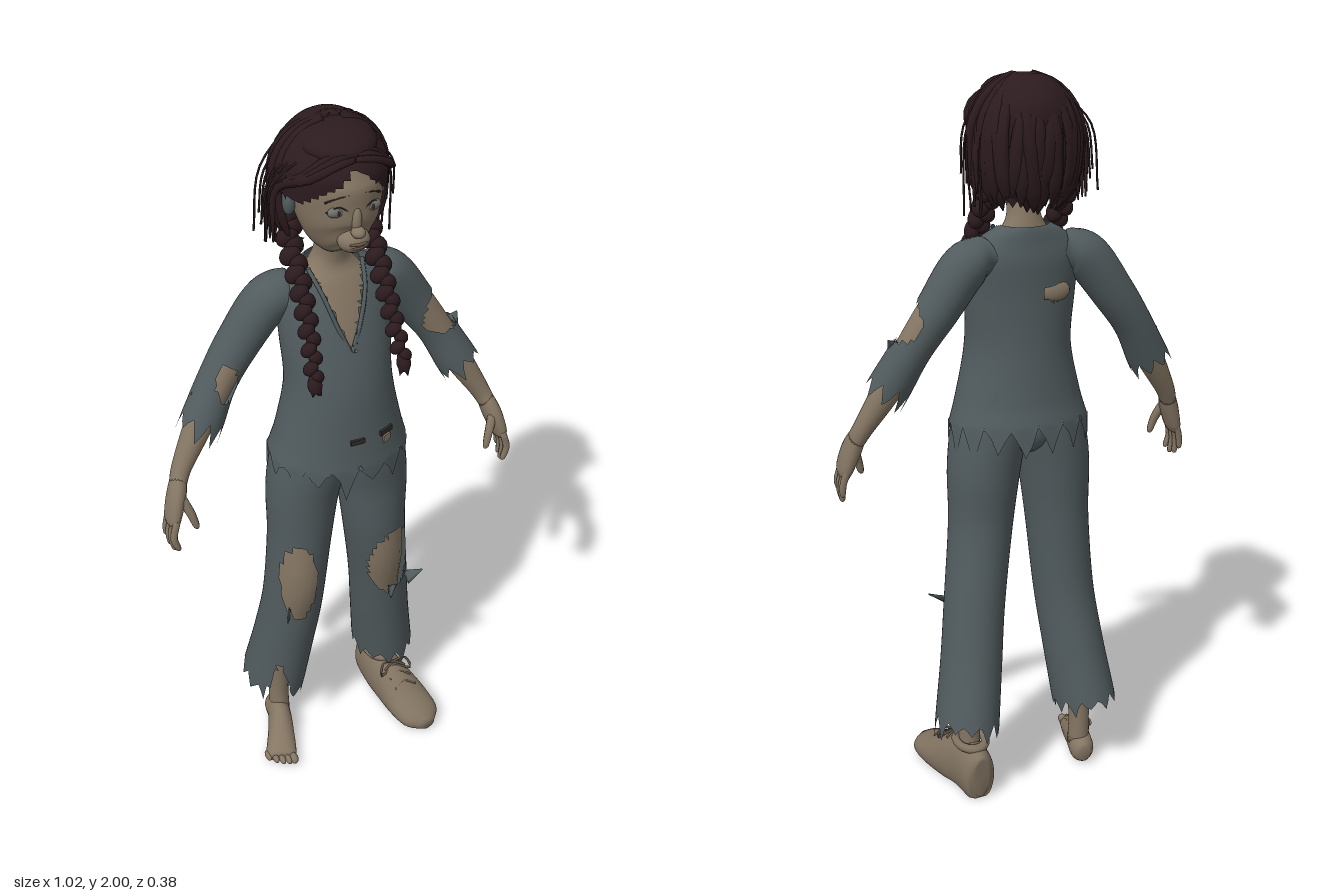
import * as THREE from 'three';

const mat = (name, color, side = THREE.FrontSide) => Object.assign(new THREE.MeshStandardMaterial({ color, side }), { name });
const skin = mat('skin', 0x857663);
const cloth = mat('cloth', 0x515b5e, THREE.DoubleSide);
const hair = mat('hair', 0x2c1b1e, THREE.DoubleSide);
const shoeMat = mat('shoe', 0x807260);
const laceMat = mat('lace', 0x5f5346);
const dark = mat('dark', 0x2f2b2a);
const eyeMat = mat('eye', 0x72706a);
const lipMat = mat('lips', 0x6b5648);

const V = (x, y, z) => new THREE.Vector3(x, y, z);
const X = V(1, 0, 0);

export function createModel() {
  const model = new THREE.Group();
  let seed = 7;
  const rnd = () => (seed = (seed * 16807) % 2147483647) / 2147483647;
  const vary = a => (rnd() - 0.5) * 2 * a;

  const add = (name, geo, material, parent = model) => {
    const m = new THREE.Mesh(geo, material);
    m.name = name;
    parent.add(m);
    return m;
  };

  // Smooth skin through elliptical sections [x, y, z, width radius, depth radius],
  // with optional torn end (jag), missing faces (skip) and end caps
  function loft(sections, { n = 20, rows = 20, jag = 0, skip = null, cap = true, ref = X } = {}) {
    const path = new THREE.CatmullRomCurve3(sections.map(s => V(s[0], s[1], s[2])), false, 'catmullrom', 0.5);
    const size = new THREE.CatmullRomCurve3(sections.map(s => V(s[3], s[4], 0)), false, 'catmullrom', 0.5);
    const pts = [], index = [];
    let tooth = 1;
    for (let i = 0; i <= rows; i++) {
      const c = path.getPoint(i / rows), r = size.getPoint(i / rows), t = path.getTangent(i / rows);
      const u = ref.clone().addScaledVector(t, -ref.dot(t)).normalize();
      const v = t.clone().cross(u);
      for (let j = 0; j < n; j++) {
        const a = j / n * Math.PI * 2;
        const p = c.clone().addScaledVector(u, r.x * Math.cos(a)).addScaledVector(v, r.y * Math.sin(a));
        if (jag && i === rows) {
          if (j % 4 === 0) tooth = 0.3 + 0.7 * rnd();
          p.addScaledVector(t, jag * ([-0.25, 0.35, 1, 0.3][j % 4] * tooth + vary(0.1)));
        }
        p.y = Math.max(p.y, 0);
        pts.push(p);
      }
    }
    const tri = (a, b, c) => {
      const mid = pts[a].clone().add(pts[b]).add(pts[c]).divideScalar(3);
      if (!skip || !skip(mid)) index.push(a, b, c);
    };
    for (let i = 0; i < rows; i++) for (let j = 0; j < n; j++) {
      const a = i * n + j, b = i * n + (j + 1) % n;
      tri(a, b, a + n);
      tri(b, b + n, a + n);
    }
    if (cap) for (const [row, first] of [[0, true], [rows, false]]) {
      const k = pts.push(path.getPoint(row / rows)) - 1;
      for (let j = 0; j < n; j++) {
        const a = row * n + j, b = row * n + (j + 1) % n;
        first ? index.push(k, b, a) : index.push(k, a, b);
      }
    }
    const g = new THREE.BufferGeometry().setFromPoints(pts);
    g.setIndex(index);
    g.computeVertexNormals();
    return g;
  }
  const hole = (c, r) => p => ((p.x - c[0]) / r[0]) ** 2 + ((p.y - c[1]) / r[1]) ** 2 + ((p.z - c[2]) / r[2]) ** 2 < 1;
  const ball = (name, m, p, r, parent) => {
    const b = add(name, new THREE.SphereGeometry(1, 16, 12), m, parent);
    b.position.set(...p);
    b.scale.set(...r);
    return b;
  };
  const cord = (name, m, points, r, parent) =>
    add(name, new THREE.TubeGeometry(new THREE.CatmullRomCurve3(points.map(p => V(...p))), 10, r, 6), m, parent);

  // Head, neck and chest
  add('head', loft([[0, 1.955, -0.01, 0.03, 0.04], [0, 1.925, 0, 0.085, 0.105], [0, 1.86, 0, 0.115, 0.134], [0, 1.79, 0.01, 0.109, 0.126],
    [0, 1.73, 0.028, 0.09, 0.11], [0, 1.69, 0.05, 0.06, 0.076], [0, 1.672, 0.062, 0.032, 0.043]], { n: 28, rows: 28 }), skin);
  add('neckAndChest', loft([[0, 1.72, 0, 0.045, 0.05], [0, 1.64, -0.02, 0.043, 0.046], [0, 1.59, -0.025, 0.07, 0.052],
    [0, 1.53, -0.015, 0.122, 0.07], [0, 1.42, 0.005, 0.135, 0.09], [0, 1.3, 0.015, 0.125, 0.1]], { n: 28 }), skin);

  // Face
  ball('muzzle', skin, [0, 1.725, 0.112], [0.042, 0.032, 0.036]);
  ball('nose', skin, [0, 1.757, 0.139], [0.018, 0.015, 0.021]);
  ball('noseBridge', skin, [0, 1.785, 0.129], [0.013, 0.035, 0.014]);
  ball('upperLip', lipMat, [0, 1.727, 0.142], [0.024, 0.005, 0.0085]);
  ball('lowerLip', lipMat, [0, 1.717, 0.14], [0.02, 0.006, 0.0085]);
  for (const s of [1, -1]) {
    ball('eye', eyeMat, [s * 0.046, 1.81, 0.115], [0.024, 0.015, 0.012]);
    ball('iris', dark, [s * 0.045, 1.81, 0.124], [0.006, 0.008, 0.004]);
    cord('eyelid', dark, [[s * 0.021, 1.812, 0.129], [s * 0.045, 1.826, 0.126], [s * 0.071, 1.808, 0.108]], 0.0016);
    cord('eyebrow', hair, [[s * 0.02, 1.856, 0.131], [s * 0.045, 1.849, 0.123], [s * 0.073, 1.834, 0.106]], 0.0028);
    ball('ear', cloth, [s * 0.12, 1.797, -0.004], [0.017, 0.036, 0.021]);
  }

  // Hair: cap open at the face, then overlapping locks
  const hairGroup = new THREE.Group();
  hairGroup.name = 'hair';
  model.add(hairGroup);
  add('hairCap', loft([[0, 1.986, 0, 0.03, 0.03], [0, 1.965, -0.005, 0.085, 0.1], [0, 1.91, -0.013, 0.128, 0.146], [0, 1.84, -0.02, 0.138, 0.142],
    [0, 1.77, -0.03, 0.132, 0.125], [0, 1.71, -0.045, 0.108, 0.088], [0, 1.68, -0.05, 0.085, 0.065]],
  { n: 48, rows: 36, jag: 0.03, cap: false, skip: p => (p.z > 0 && p.y < 1.915 - Math.abs(p.x) * 0.85) || (p.z > -0.02 && p.y < 1.82) }), hair, hairGroup);
  ball('crown', hair, [0, 1.943, 0], [0.1, 0.046, 0.118], hairGroup);
  for (let i = 0; i < 40; i++) {
    const phi = Math.PI * (1 + i / 39), k = 1.01 + vary(0.06), end = -1.05 + vary(0.28), bend = vary(0.35);
    const lock = [];
    for (let q = 0; q <= 6; q++) {
      const e = 1.4 + (end - 1.4) * q / 6, f = Math.cos(e < 0 ? e * 0.68 : e) * k, a = phi + bend * (1 - q / 6);
      const w = q === 6 ? 0.002 : 0.012 + q * 0.0018;
      lock.push([0.142 * f * Math.cos(a), 1.838 + 0.153 * Math.sin(e) + (e < 0 ? e * 0.03 : 0), -0.018 + 0.146 * f * Math.sin(a), w, q === 6 ? 0.002 : 0.01]);
    }
    add('hairLock', loft(lock, { n: 6, rows: 14, ref: V(-Math.sin(phi), 0, Math.cos(phi)) }), hair, hairGroup);
  }
  for (const s of [1, -1]) {
    const wide = s < 0 ? 0.012 : 0;
    // Locks swept from the centre parting back over the ears
    for (let i = 0; i < 10; i++) {
      const z = 0.118 - i * 0.017, y = 1.938 + i * 0.005, b = 0.134 + vary(0.012) + wide;
      add('sideLock', loft([[s * 0.003, y, z, 0.013, 0.008], [s * 0.05, y - 0.008, z, 0.018, 0.01], [s * 0.105, 1.893, z * 0.78 - 0.006, 0.018, 0.011],
        [s * b, 1.825, z * 0.2 - 0.045, 0.014, 0.01], [s * (b + 0.004), 1.71 + vary(0.045), z * 0.2 - 0.058, 0.003, 0.002]],
      { n: 6, rows: 14, ref: V(0, 0.3, 1) }), hair, hairGroup);
    }
    for (let i = 0; i < 7; i++) {
      const z = 0.05 - i * 0.025, b = 0.142 + vary(0.014) + wide;
      cord('looseStrand', hair, [[s * 0.08, 1.945, z], [s * b, 1.86, z * 0.6 - 0.02], [s * (b + 0.01 + vary(0.01)), 1.7 + vary(0.06), z * 0.4 - 0.04]], 0.0028, hairGroup);
    }
    // Braids falling forward over the shoulders
    const curve = new THREE.CatmullRomCurve3([[0.1, 1.73, -0.05], [0.108, 1.67, -0.025], [0.11, 1.58, 0.045], [0.115, 1.47, 0.11], [0.122, 1.38, 0.15]].map(p => V(p[0] * s, p[1], p[2])));
    for (let i = 0; i < 18; i++) {
      const p = curve.getPointAt(i / 17), side = i % 2 ? 1 : -1, r = 0.029 - i * 0.0006;
      const knot = ball('braidKnot', hair, [p.x + side * 0.008, p.y, p.z], [r * 0.9, r * 1.2, r * 0.9], hairGroup);
      knot.rotation.set(0.45, 0, side * 0.5);
    }
    add('braidTail', loft([[s * 0.122, 1.385, 0.148, 0.012, 0.012], [s * 0.124, 1.36, 0.156, 0.02, 0.016], [s * 0.122, 1.34, 0.163, 0.013, 0.01]], { n: 12, rows: 6, jag: 0.015 }), hair, hairGroup);
  }

  // Shirt with open neck and torn hem
  add('shirt', loft([[0, 1.612, -0.03, 0.066, 0.055], [0, 1.582, -0.03, 0.115, 0.062], [0, 1.53, -0.02, 0.152, 0.08], [0, 1.42, 0.003, 0.152, 0.102],
    [0, 1.28, 0.02, 0.146, 0.124], [0, 1.14, 0.02, 0.173, 0.139], [0, 1.06, 0.016, 0.196, 0.153]],
  { n: 64, rows: 44, jag: 0.085, cap: false, skip: p => (p.z > -0.03 && Math.abs(p.x) < (p.y - 1.39) * 0.32) || hole([-0.065, 1.435, -0.1], [0.04, 0.022, 0.04])(p) }), cloth);
  ball('backSkin', skin, [-0.065, 1.435, -0.075], [0.045, 0.03, 0.017]);
  for (const s of [1, -1])
    cord('collar', cloth, [[s * 0.074, 1.602, 0.005], [s * 0.058, 1.55, 0.06], [s * 0.032, 1.47, 0.09], [0, 1.39, 0.108]], 0.006);
  const patch = (name, m, x, y, z, w, h, ry) => {
    const t = add(name, new THREE.BoxGeometry(w, h, 0.008), m);
    t.position.set(x, y, z);
    t.rotation.y = ry;
  };
  patch('waistTear', dark, -0.005, 1.15, 0.159, 0.04, 0.014, 0);
  patch('waistTear', dark, 0.085, 1.15, 0.141, 0.045, 0.014, 0.42);
  patch('waistSkin', skin, 0.085, 1.128, 0.143, 0.025, 0.022, 0.42);

  // Trousers, legs, sleeves, arms and hands
  ball('trouserSeat', cloth, [0, 1.045, 0.012], [0.1, 0.075, 0.112]);
  for (const s of [1, -1]) {
    const k = s > 0 ? 1.02 : 0.93, dz = s > 0 ? 0 : 0.02;
    const side = rows => rows.map(([x, y, z, a, b]) => [s * x * (y < 0.7 ? k : 1), y, z + (y < 0.7 ? dz : 0), a, b]);
    const knee = s > 0 ? hole([0.14, 0.635, 0.09], [0.068, 0.13, 0.08]) : hole([-0.15, 0.66, 0.095], [0.05, 0.135, 0.075]);
    const slit = p => s < 0 && p.z > -0.06 && Math.abs(p.x + 0.2) < (0.34 - p.y) * 0.25;
    add('trouserLeg', loft(side([[0.07, 1.17, 0.02, 0.085, 0.115], [0.085, 1.05, 0.018, 0.1, 0.12], [0.103, 0.93, 0.013, 0.099, 0.11], [0.114, 0.77, 0.012, 0.088, 0.101],
      [0.142, 0.55, -0.018, 0.084, 0.097], [0.163, 0.38, -0.045, 0.085, 0.1], [0.187, 0.215, -0.075, 0.088, 0.11]]),
    { n: 48, rows: 50, jag: 0.055, cap: false, skip: p => knee(p) || slit(p) }), cloth);
    add('leg', loft(side([[0.114, 0.84, 0.012, 0.07, 0.08], [0.13, 0.65, 0, 0.073, 0.084], [0.145, 0.5, -0.025, 0.062, 0.072],
      [0.168, 0.33, -0.05, 0.047, 0.056], [0.178, 0.17, -0.065, 0.03, 0.036], [0.178, 0.05, -0.065, 0.03, 0.036]])), skin);

    const arm = rows => rows.map(([x, y, z, a, b]) => [s * x, y, z, a, b]);
    const tear = s > 0 ? hole([0.315, 1.375, -0.02], [0.07, 0.062, 0.07]) : hole([-0.305, 1.325, 0.02], [0.03, 0.055, 0.04]);
    add('sleeve', loft(arm([[0.1, 1.535, -0.03, 0.045, 0.055], [0.167, 1.515, -0.04, 0.062, 0.062], [0.25, 1.405, -0.045, 0.058, 0.057],
      [0.315, 1.31, -0.035, 0.053, 0.054], [0.37, 1.21, -0.015, 0.058, 0.056]]), { n: 32, rows: 32, jag: 0.055, cap: false, skip: tear }), cloth);
    add('arm', loft(arm([[0.17, 1.51, -0.04, 0.045, 0.045], [0.25, 1.405, -0.045, 0.05, 0.049], [0.32, 1.3, -0.035, 0.045, 0.046],
      [0.385, 1.19, -0.015, 0.037, 0.039], [0.438, 1.1, 0.005, 0.027, 0.03], [0.457, 1.06, 0.02, 0.023, 0.03]])), skin);
    add('palm', loft(arm([[0.452, 1.075, 0.015, 0.022, 0.028], [0.468, 1.03, 0.032, 0.025, 0.038], [0.484, 0.98, 0.043, 0.021, 0.04], [0.489, 0.958, 0.046, 0.015, 0.034]]), { n: 16, rows: 12 }), skin);
    for (let f = 0; f < 4; f++) {
      const z = 0.015 + f * 0.02, l = [0.065, 0.085, 0.09, 0.08][f];
      add('finger', loft(arm([[0.484, 0.98, z, 0.01, 0.011], [0.497, 0.975 - l * 0.55, z + 0.004, 0.01, 0.01], [0.499 - f * 0.004, 0.975 - l, z + 0.005, 0.008, 0.008], [0.498 - f * 0.004, 0.967 - l, z + 0.005, 0.003, 0.003]]), { n: 8, rows: 8 }), skin);
    }
    add('thumb', loft(arm([[0.462, 1.035, 0.05, 0.014, 0.014], [0.443, 0.99, 0.068, 0.012, 0.012], [0.432, 0.95, 0.075, 0.009, 0.009], [0.431, 0.941, 0.075, 0.003, 0.003]]), { n: 8, rows: 8 }), skin);
  }

  // Loose flaps of cloth beside the tears: [x, y, z, dx, dy, dz]
  for (const [x, y, z, dx, dy, dz] of [[0.2, 0.53, 0.06, 0.05, 0.02, 0.01], [0.14, 0.51, 0.08, 0.01, 0.04, 0.02], [-0.17, 0.54, 0.07, -0.02, -0.01, 0.03],
    [0.36, 1.32, -0.03, 0.02, 0.02, -0.01], [-0.34, 1.31, -0.03, -0.05, -0.02, 0], [-0.37, 1.24, -0.02, -0.03, -0.01, -0.02]])
    add('tornFlap', loft([[x, y, z, 0.022, 0.004], [x + dx, y + dy, z + dz, 0.002, 0.002]], { n: 6, rows: 3, ref: V(0.3, 0.8, -0.5) }), cloth);

  // Bare right foot
  add('bareFoot', loft([[-0.163, 0.035, -0.1, 0.018, 0.025], [-0.166, 0.038, -0.075, 0.034, 0.042], [-0.176, 0.045, -0.02, 0.034, 0.056],
    [-0.198, 0.03, 0.045, 0.04, 0.042], [-0.22, 0.018, 0.1, 0.045, 0.026], [-0.228, 0.016, 0.122, 0.038, 0.017]]), skin);
  for (let i = 0; i < 5; i++)
    ball('toe', skin, [-0.196 - i * 0.0165, 0.015, 0.138 - i * i * 0.0025], [i ? 0.009 : 0.013, i ? 0.012 : 0.015, 0.02]);

  // Left shoe
  add('shoe', loft([[0.179, 0.066, -0.16, 0.022, 0.06], [0.18, 0.067, -0.148, 0.042, 0.078], [0.182, 0.066, -0.12, 0.05, 0.085], [0.186, 0.063, -0.05, 0.056, 0.087],
    [0.198, 0.05, 0.015, 0.061, 0.08], [0.213, 0.035, 0.085, 0.068, 0.053], [0.223, 0.028, 0.15, 0.06, 0.036], [0.23, 0.024, 0.188, 0.022, 0.018]], { n: 28, rows: 32 }), shoeMat);
  const collar = add('shoeCollar', new THREE.TorusGeometry(0.04, 0.012, 8, 20), shoeMat);
  collar.position.set(0.182, 0.147, -0.075);
  collar.rotation.x = Math.PI / 2;
  collar.scale.y = 1.35;
  for (let i = 0; i < 3; i++) {
    const z = 0.005 + i * 0.028, y = 0.137 - i * 0.017, x = 0.197 + i * 0.005;
    for (const s of [1, -1])
      cord('lace', laceMat, [[x - 0.034, y - 0.012, z - s * 0.012], [x, y + 0.003, z], [x + 0.034, y - 0.012, z + s * 0.012]], 0.004);
  }
  for (const s of [1, -1])
    cord('laceBow', laceMat, [[0.197, 0.142, 0.005], [0.197 + s * 0.035, 0.151, 0.01], [0.197 + s * 0.05, 0.115, 0.025], [0.197, 0.136, 0.012]], 0.004);

  return model;
}
